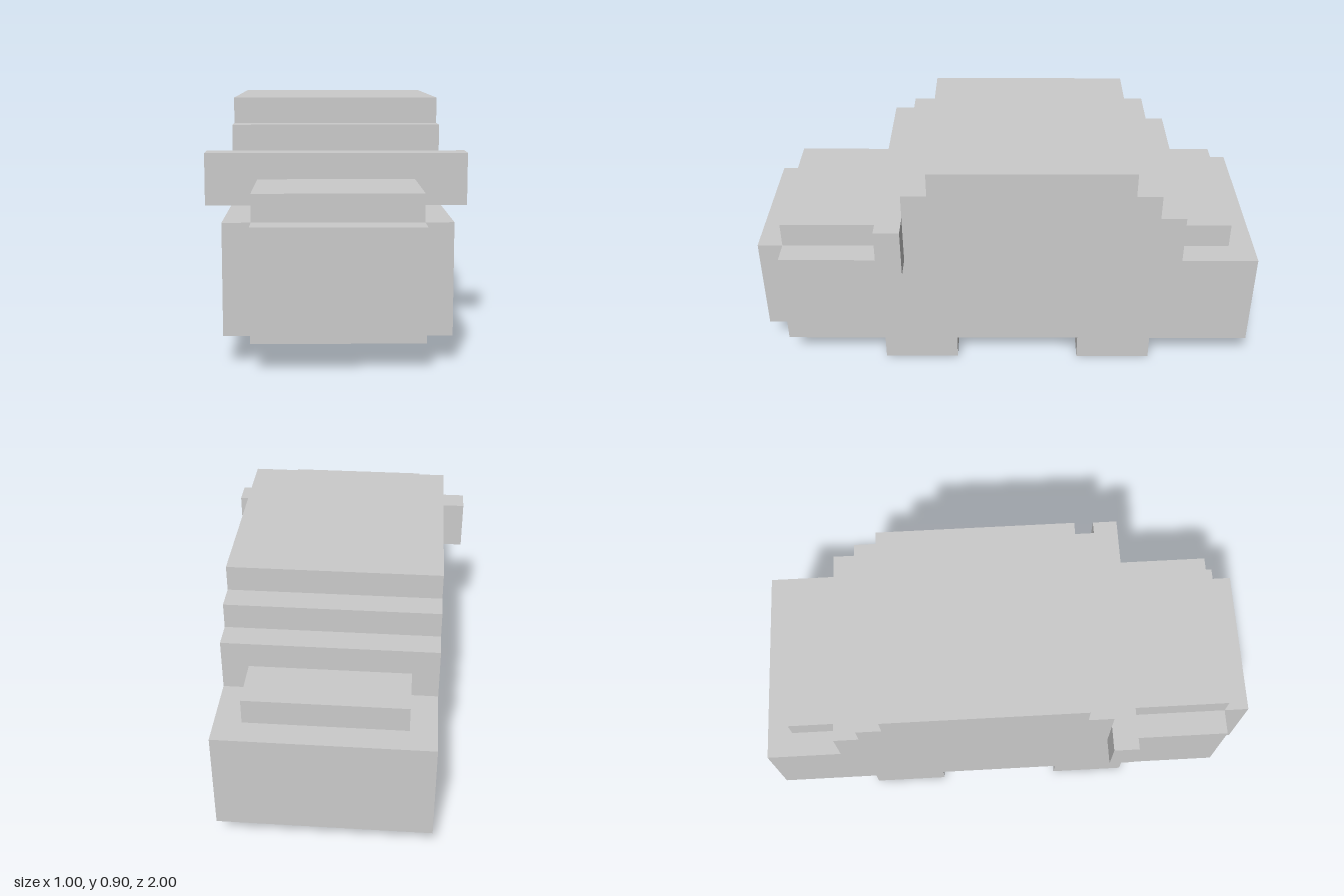
import * as THREE from 'three';

const material = new THREE.MeshStandardMaterial({ color: 0xcccccc, flatShading: true });

function add(group, name, geometry) {
  const mesh = new THREE.Mesh(geometry, material);
  mesh.name = name;
  group.add(mesh);
}

// Box given by its min and max on each axis
function box(group, name, [x0, x1], [y0, y1], [z0, z1]) {
  const g = new THREE.BoxGeometry(x1 - x0, y1 - y0, z1 - z0);
  g.translate((x0 + x1) / 2, (y0 + y1) / 2, (z0 + z1) / 2);
  add(group, name, g);
}

// Side profile of (z, y) points extruded across x
function slab(group, name, points, x0, x1) {
  const shape = new THREE.Shape(points.map(([z, y]) => new THREE.Vector2(z, y)));
  const g = new THREE.ExtrudeGeometry(shape, { depth: x1 - x0, bevelEnabled: false });
  g.rotateY(-Math.PI / 2);
  g.translate(x1, 0, 0);
  add(group, name, g);
}

export function createModel() {
  const car = new THREE.Group();
  car.name = 'car';

  // Stepped body: the middle slab has a slot in the underside near the back
  const upper = [
    [0.9, 0.1], [0.9, 0.5], [0.4, 0.5], [0.4, 0.8], [0.3, 0.8], [0.3, 0.9],
    [-0.5, 0.9], [-0.5, 0.8], [-0.6, 0.8], [-0.6, 0.7], [-0.7, 0.7], [-0.7, 0.5],
    [-1, 0.5], [-1, 0.1],
  ];
  const slot = [[-0.9, 0.1], [-0.9, 0.2], [-0.8, 0.2], [-0.8, 0.1]];
  slab(car, 'bodyMiddle', [...upper, ...slot], -0.3, 0.3);
  slab(car, 'bodyLeft', upper, 0.3, 0.4);
  slab(car, 'bodyRight', upper, -0.4, -0.3);

  // Front block, raised lids and mirror bar
  box(car, 'nose', [-0.3, 0.3], [0.1, 0.5], [0.9, 1]);
  box(car, 'hood', [-0.3, 0.3], [0.5, 0.6], [0.5, 0.9]);
  box(car, 'trunkLid', [-0.3, 0.3], [0.5, 0.6], [-0.9, -0.7]);
  box(car, 'mirrorBar', [-0.5, 0.5], [0.5, 0.7], [0.4, 0.5]);

  // Wheels
  for (const [side, x] of [['Left', [0.3, 0.4]], ['Right', [-0.4, -0.3]]]) {
    box(car, 'frontWheel' + side, x, [0, 0.1], [0.2, 0.5]);
    box(car, 'rearWheel' + side, x, [0, 0.1], [-0.6, -0.3]);
  }
  return car;
}
